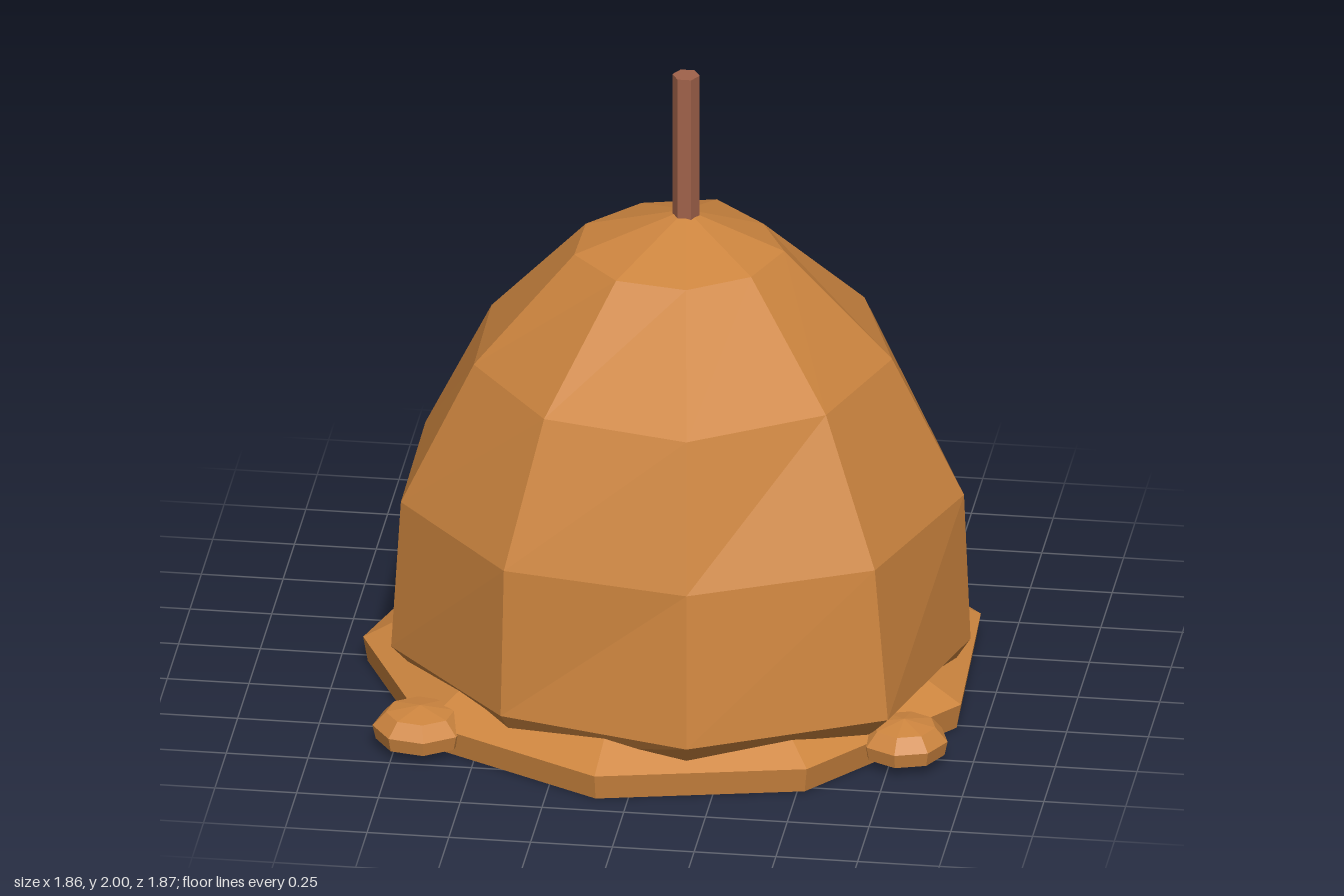
import * as THREE from 'three';

const SIDES = 9;

// Faceted shell from rings listed bottom to top; each ring is { y, radii } with one radius or one per side.
function facetedShell(rings, angles) {
  const point = ({ y, radii }, i) => {
    const k = i % SIDES;
    const r = Array.isArray(radii) ? radii[k] : radii;
    const a = THREE.MathUtils.degToRad(angles[k]);
    return [r * Math.cos(a), y, r * Math.sin(a)];
  };
  const positions = [];
  for (let j = 0; j < rings.length - 1; j++) {
    const low = rings[j], high = rings[j + 1];
    for (let i = 0; i < SIDES; i++) {
      const a = point(low, i), b = point(low, i + 1);
      const c = point(high, i), d = point(high, i + 1);
      if (low.radii !== 0) positions.push(...a, ...c, ...b);
      if (high.radii !== 0) positions.push(...b, ...c, ...d);
    }
  }
  const geometry = new THREE.BufferGeometry();
  geometry.setAttribute('position', new THREE.Float32BufferAttribute(positions, 3));
  geometry.computeVertexNormals();
  return geometry;
}

export function createModel() {
  const model = new THREE.Group();
  model.name = 'dippedSweet';

  const caramel = new THREE.MeshStandardMaterial({ color: 0xcd853f, flatShading: true });
  caramel.name = 'caramel';
  const wood = new THREE.MeshStandardMaterial({ color: 0xa0624a, flatShading: true });
  wood.name = 'stick brown';

  const add = (name, geometry, material, x = 0, y = 0, z = 0) => {
    const mesh = new THREE.Mesh(geometry, material);
    mesh.name = name;
    mesh.position.set(x, y, z);
    model.add(mesh);
    return mesh;
  };

  // Slightly uneven nine-sided dome
  const domeAngles = [0, 41, 82, 122, 161, 199, 238, 278, 319];
  add('dome', facetedShell([
    { y: 0.03, radii: 0.78 },
    { y: 0.17, radii: [0.87, 0.93, 0.91, 0.875, 0.91, 0.89, 0.915, 0.855, 0.81] },
    { y: 0.65, radii: [0.85, 0.87, 0.84, 0.86, 0.88, 0.885, 0.91, 0.84, 0.8] },
    { y: 1.09, radii: [0.63, 0.645, 0.68, 0.67, 0.655, 0.66, 0.65, 0.655, 0.645] },
    { y: 1.43, radii: [0.3, 0.3, 0.32, 0.33, 0.345, 0.34, 0.33, 0.34, 0.28] },
    { y: 1.55, radii: 0 },
  ], domeAngles), caramel, 0.05, 0, -0.01);

  // Puddle with a low upright rim that slopes up into the dome
  const rim = [0.968, 0.951, 0.935, 0.912, 0.931, 0.946, 0.959, 0.966, 0.977];
  const puddleAngles = [16.2, 56.1, 96.1, 136.3, 177.5, 218.6, 258.6, 297.1, 337.1];
  add('puddle', facetedShell([
    { y: 0, radii: 0 },
    { y: 0, radii: rim.map((r) => r * 0.985) },
    { y: 0.08, radii: rim },
    { y: 0.22, radii: rim.map((r) => r * 0.74) },
  ], puddleAngles), caramel);

  // Flattened drips around the puddle edge: x, z, radius, turn
  const drips = [
    [-0.675, 0.62, 0.145, 0.2],
    [0.79, 0.515, 0.135, 0.7],
    [-0.52, -0.775, 0.15, 1.1],
    [0.56, -0.79, 0.145, 0.4],
  ];
  const profile = [[0, 0.03], [0.93, 0.03], [1, 0.075], [0.72, 0.118], [0, 0.138]];
  drips.forEach(([x, z, r, turn], i) => {
    const points = profile.map(([px, py]) => new THREE.Vector2(px * r, py));
    add('drip' + (i + 1), new THREE.LatheGeometry(points, 8), caramel, x, 0, z).rotation.y = turn;
  });

  // Six-sided stick, one corner facing +x
  const stick = add('stick', new THREE.CylinderGeometry(0.042, 0.042, 0.5, 6), wood, 0.05, 1.75, -0.01);
  stick.rotation.y = Math.PI / 6;

  return model;
}
